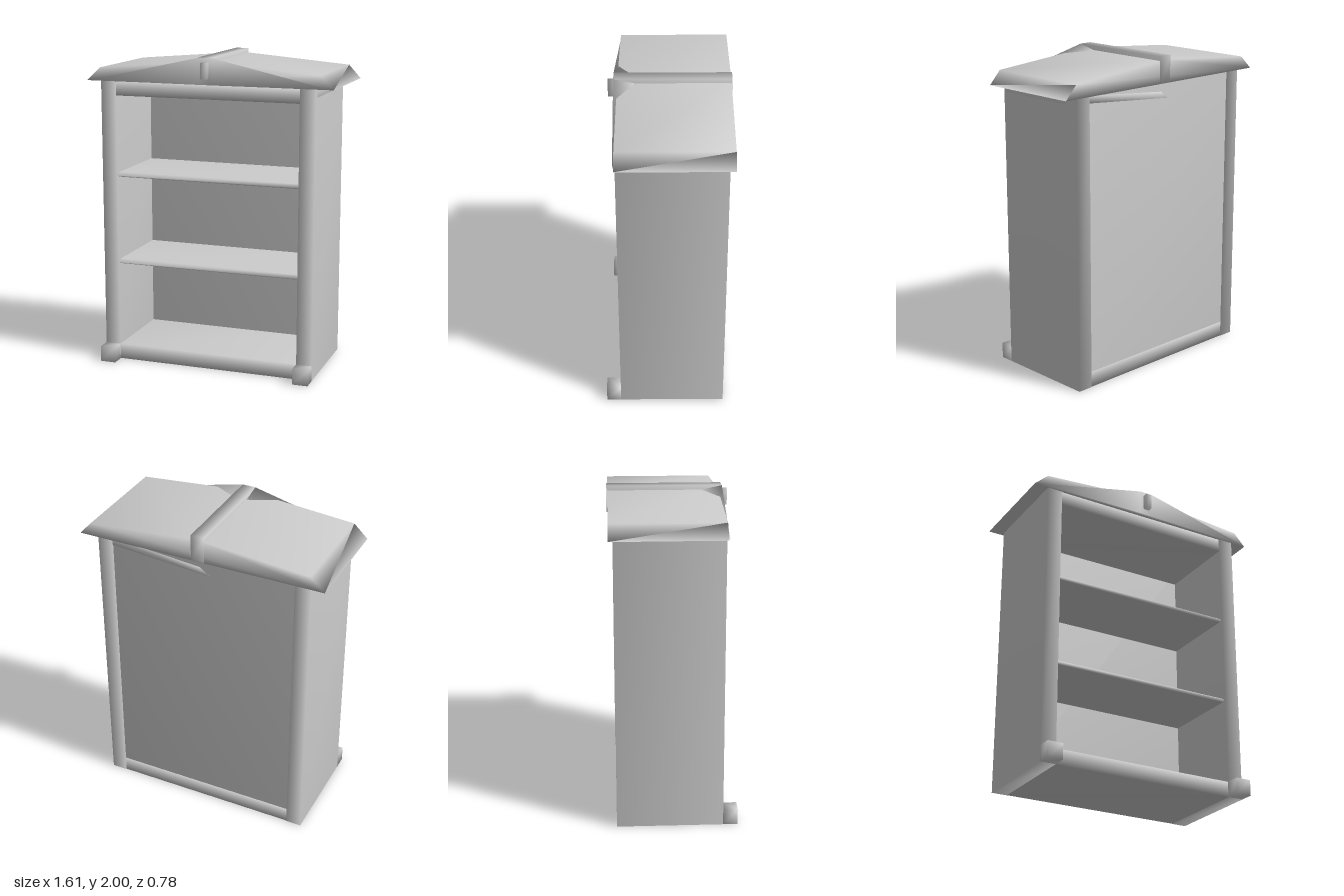
import * as THREE from 'three';
import { mergeVertices } from 'three/addons/utils/BufferGeometryUtils.js';
import { ConvexGeometry } from 'three/addons/geometries/ConvexGeometry.js';

export function createModel() {
  const model = new THREE.Group();
  const material = new THREE.MeshStandardMaterial({ color: 0xcccccc });

  // Mesh with shared corners, so the shading rolls over its edges
  function add(name, geometry) {
    geometry.deleteAttribute('normal');
    geometry.deleteAttribute('uv');
    const smooth = mergeVertices(geometry);
    smooth.computeVertexNormals();
    const mesh = new THREE.Mesh(smooth, material);
    mesh.name = name;
    model.add(mesh);
    return mesh;
  }

  // Box between two corners
  function board(name, [x0, x1], [y0, y1], [z0, z1]) {
    const g = new THREE.BoxGeometry(x1 - x0, y1 - y0, z1 - z0);
    g.translate((x0 + x1) / 2, (y0 + y1) / 2, (z0 + z1) / 2);
    return add(name, g);
  }

  // Profile in x/y pushed along z
  function prism(name, points, z0, z1) {
    const shape = new THREE.Shape(points.map(([x, y]) => new THREE.Vector2(x, y)));
    const g = new THREE.ExtrudeGeometry(shape, { depth: z1 - z0, bevelEnabled: false });
    g.translate(0, 0, z0);
    return add(name, g);
  }

  // Side walls and front feet
  const sides = [['left', 0.592, 0.692], ['right', -0.71, -0.61]];
  for (const [side, x0, x1] of sides) {
    board(side + 'Wall', [x0, x1], [0, 1.835], [-0.358, 0.30]);
    board(side + 'Foot', [x0, x1], [0, 0.10], [0.30, 0.39]);
  }

  // Thick back panel, floor and ceiling
  const inner = [-0.61, 0.592];
  board('backPanel', inner, [0.10, 1.83], [-0.354, -0.262]);
  board('floorBoard', inner, [0, 0.10], [-0.354, 0.295]);
  board('ceilingBoard', inner, [1.74, 1.83], [-0.30, 0.295]);

  // Two shelves with a chamfered front edge
  for (const y of [0.642, 1.215]) {
    const profile = [[-0.27, y], [0.27, y], [0.29, y + 0.01], [0.26, y + 0.03], [-0.27, y + 0.03]];
    const mesh = prism('shelf', profile.map(([z, h]) => [-z, h]), 0, 1.202);
    mesh.rotation.y = Math.PI / 2;
    mesh.position.x = -0.61;
  }

  // Cleats below the roof
  board('sideCleat', [0.68, 0.696], [1.78, 1.835], [-0.28, 0.27]);
  prism('backCleat', [[0.592, 1.83], [0.0, 1.775], [-0.06, 1.73], [0.592, 1.785]], -0.362, -0.34);

  // Roof slopes with chamfered eaves
  prism('roof', [
    [-0.805, 1.83], [0.80, 1.83], [0.722, 1.914], [0, 1.975], [-0.715, 1.914],
  ], -0.387, 0.302);

  // Front gable, fading back into the roof
  const gable = [];
  for (const s of [-1, 1]) {
    gable.push(
      new THREE.Vector3(s * 0.78, 1.832, 0.31),
      new THREE.Vector3(s * 0.043, 1.832, 0.325),
      new THREE.Vector3(s * 0.043, 1.998, 0.325),
      new THREE.Vector3(s * 0.043, 1.97, 0.19),
    );
  }
  add('gable', new ConvexGeometry(gable));

  // Ridge beam and the peg on its front end
  board('ridgeBeam', [-0.045, 0.04], [1.835, 2.0], [-0.392, 0.322]);
  board('gablePeg', [-0.02, 0.02], [1.87, 1.97], [0.30, 0.36]);

  return model;
}
